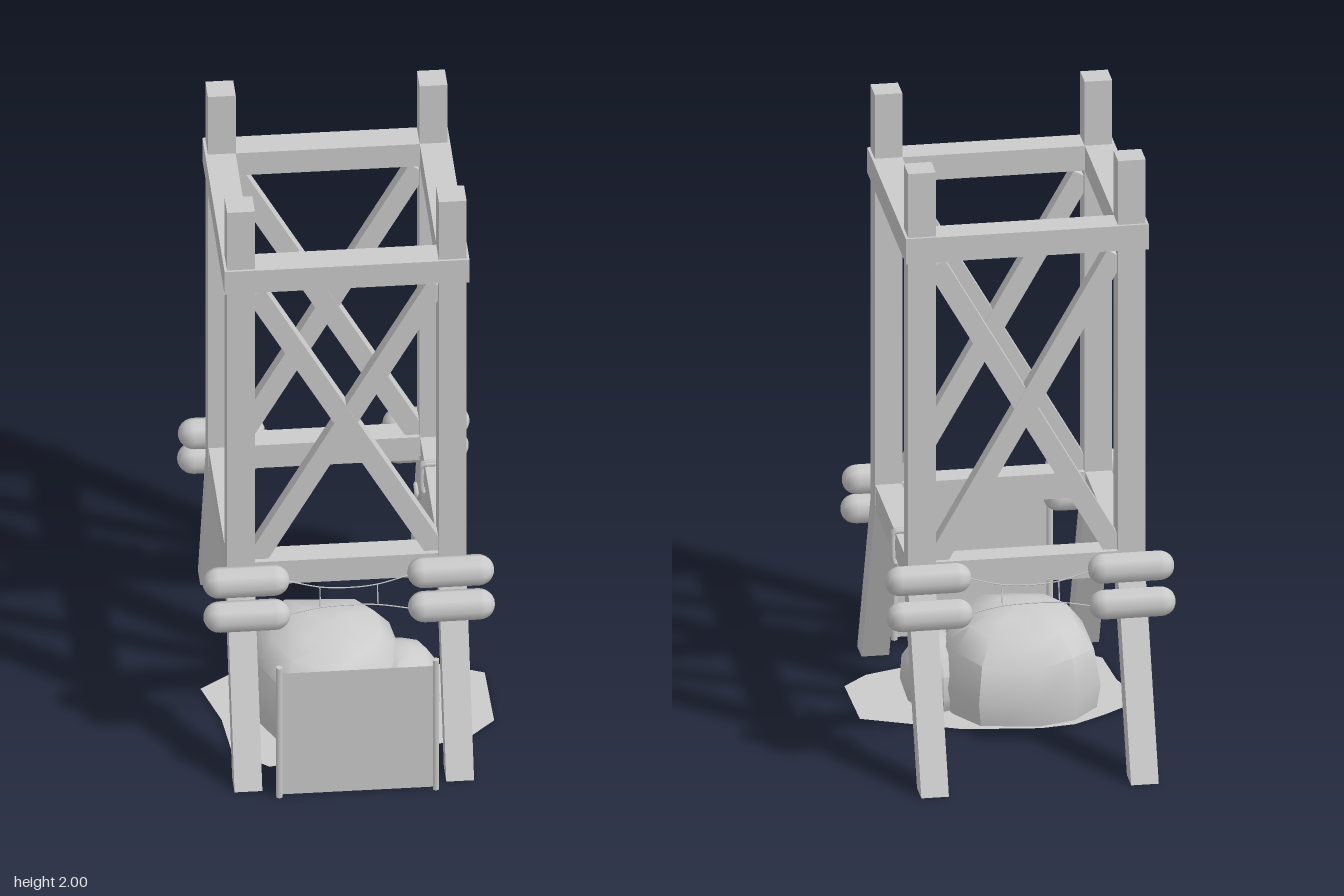
import * as THREE from 'three';
import { toCreasedNormals } from 'three/addons/utils/BufferGeometryUtils.js';

const mat = new THREE.MeshStandardMaterial({ color: 0xcccccc });
const thinMat = new THREE.MeshStandardMaterial({ color: 0xcccccc, side: THREE.DoubleSide });

function add(parent, name, geo, x = 0, y = 0, z = 0, material = mat) {
  const m = new THREE.Mesh(geo, material);
  m.name = name;
  m.position.set(x, y, z);
  parent.add(m);
  return m;
}
const box = (w, h, d) => new THREE.BoxGeometry(w, h, d);

function rope(parent, name, points, radius, closed = false, type = 'centripetal') {
  const curve = new THREE.CatmullRomCurve3(points.map(p => new THREE.Vector3(...p)), closed, type, 0.15);
  return add(parent, name, new THREE.TubeGeometry(curve, 32, radius, 6, closed));
}

// Boulder: one footprint outline, scaled about its centre at several heights
function boulder(outline, cx, cz, levels) {
  const pos = [], index = [], n = outline.length;
  for (const [y, s, wobble] of levels) {
    outline.forEach(([x, z], i) => {
      const dy = wobble * Math.sin(i * 2.1);
      pos.push(cx + (x - cx) * s, y + dy, cz + (z - cz) * s);
    });
  }
  for (let l = 0; l < levels.length - 1; l++) {
    for (let i = 0; i < n; i++) {
      const a0 = l * n + i, a1 = l * n + (i + 1) % n;
      index.push(a1, a0, a0 + n, a1, a0 + n, a1 + n);
    }
  }
  const g = new THREE.BufferGeometry();
  g.setAttribute('position', new THREE.Float32BufferAttribute(pos, 3));
  g.setIndex(index);
  return toCreasedNormals(g, 0.75);
}

// Box leg whose foot is pushed outward along z
function splayedLeg(side) {
  const g = box(0.087, 0.62, 0.085);
  const p = g.attributes.position;
  for (let i = 0; i < p.count; i++) {
    if (p.getY(i) < 0) p.setZ(i, p.getZ(i) + side * 0.265);
  }
  g.computeVertexNormals();
  return g;
}

function createTower() {
  const tower = new THREE.Group();
  tower.name = 'tower';
  tower.position.set(-0.007, 0, -0.0235);
  const px = 0.331, pz = 0.326;

  for (const sx of [-1, 1]) {
    for (const sz of [-1, 1]) {
      add(tower, 'post', box(0.087, 1.4, 0.087), sx * px, 1.3, sz * pz);
      add(tower, 'splayedLeg', splayedLeg(sz), sx * px, 0.31, sz * 0.318);
      // Pairs of rounded bags hung at the corners
      for (const [y, z] of [[0.65, 0.42], [0.54, 0.447]]) {
        const bag = add(tower, 'bag', new THREE.CapsuleGeometry(0.05, 0.172, 6, 8), sx * 0.32, y, sz * z);
        bag.rotation.z = Math.PI / 2;
      }
    }
    // Side beams
    add(tower, 'upperSideBeam', box(0.095, 0.085, 0.756), sx * 0.3355, 1.742, 0);
    add(tower, 'lowerSideBeam', box(0.083, 0.085, 0.6), sx * px, 0.642, 0);
  }

  for (const s of [-1, 1]) {
    // Front and back beams
    add(tower, 'upperCrossBeam', box(0.751, 0.083, 0.094), 0, 1.742, s * 0.33);
    add(tower, 'lowerCrossBeam', box(0.6, 0.085, 0.083), 0, 0.642, s * pz);
    // Crossed braces
    for (const d of [-1, 1]) {
      const brace = add(tower, 'brace', box(0.064, 1.15, 0.05 + d * 0.002), 0, 1.178, s * pz);
      brace.rotation.z = d * 0.516;
    }
    // Sagging lines between the bags, with short ties
    rope(tower, 'upperLine', [[-0.2, 0.65, s * 0.425], [-0.09, 0.622, s * 0.43], [0, 0.616, s * 0.432],
      [0.09, 0.622, s * 0.43], [0.2, 0.65, s * 0.425]], 0.002);
    rope(tower, 'lowerLine', [[-0.2, 0.54, s * 0.455], [-0.09, 0.558, s * 0.449], [0, 0.561, s * 0.447],
      [0.09, 0.558, s * 0.449], [0.2, 0.54, s * 0.455]], 0.002);
    for (const x of [-0.09, 0.09]) {
      rope(tower, 'lineTie', [[x, 0.622, s * 0.43], [x, 0.558, s * 0.449]], 0.002);
    }
  }
  return tower;
}

function createSign() {
  const sign = new THREE.Group();
  sign.name = 'frontScreen';
  for (const s of [-1, 1]) {
    add(sign, 'screenStake', new THREE.CylinderGeometry(0.011, 0.011, 0.484, 6), s * 0.245, 0.242, 0.638);
  }
  add(sign, 'screenPanel', new THREE.PlaneGeometry(0.48, 0.452), 0, 0.234, 0.638, thinMat);
  return sign;
}

function createRocks() {
  const rocks = new THREE.Group();
  rocks.name = 'rocks';

  const big = [[-0.3, -0.02], [-0.21, -0.12], [-0.09, -0.155], [0.1, -0.12], [0.175, 0], [0.2, 0.14],
    [0.15, 0.27], [0.06, 0.36], [-0.08, 0.43], [-0.22, 0.36], [-0.295, 0.2]];
  add(rocks, 'bigRock', boulder(big, -0.06, 0.13, [[0, 0, 0], [0, 0.95, 0], [0.08, 1, 0.01],
    [0.2, 0.92, 0.012], [0.268, 0.7, 0.012], [0.296, 0.35, 0.005], [0.303, 0, 0]]));

  const small = [[0.05, 0.12], [0.1, 0.03], [0.19, 0.005], [0.265, 0.045], [0.3, 0.13], [0.295, 0.22],
    [0.24, 0.29], [0.15, 0.305], [0.07, 0.23]];
  add(rocks, 'smallRock', boulder(small, 0.18, 0.15, [[0, 0, 0], [0, 0.85, 0], [0.05, 1, 0.005],
    [0.13, 0.96, 0.008], [0.185, 0.68, 0.006], [0.205, 0.3, 0], [0.21, 0, 0]]));

  // Flat patch of ground under the rocks
  const outline = [[-0.435, 0.02], [-0.3, -0.08], [-0.2, -0.14], [-0.09, -0.155], [0.15, -0.125], [0.455, 0.01],
    [0.46, 0.28], [0.38, 0.36], [0.2, 0.42], [-0.07, 0.43], [-0.26, 0.475], [-0.37, 0.38], [-0.385, 0.2]];
  const shape = new THREE.Shape(outline.map(([x, z]) => new THREE.Vector2(x, -z)));
  add(rocks, 'groundPatch', new THREE.ShapeGeometry(shape).rotateX(-Math.PI / 2), 0, 0.004, 0, thinMat);
  return rocks;
}

export function createModel() {
  const model = new THREE.Group();
  model.name = 'rockTower';
  model.add(createTower(), createSign(), createRocks());

  // Rope looped twice round the left beam, its tail hanging to the back leg
  const knot = new THREE.Group();
  knot.name = 'ropeKnot';
  for (const z of [-0.139, -0.153]) {
    rope(knot, 'ropeLoop', [[0.275, 0.594, z], [0.275, 0.692, z], [0.373, 0.692, z + 0.004],
      [0.373, 0.594, z - 0.006]], 0.007, true, 'catmullrom');
  }
  rope(knot, 'ropeTail', [[0.275, 0.6, -0.15], [0.272, 0.56, -0.175], [0.27, 0.515, -0.22],
    [0.27, 0.487, -0.285], [0.272, 0.475, -0.36]], 0.007);
  model.add(knot);
  return model;
}
